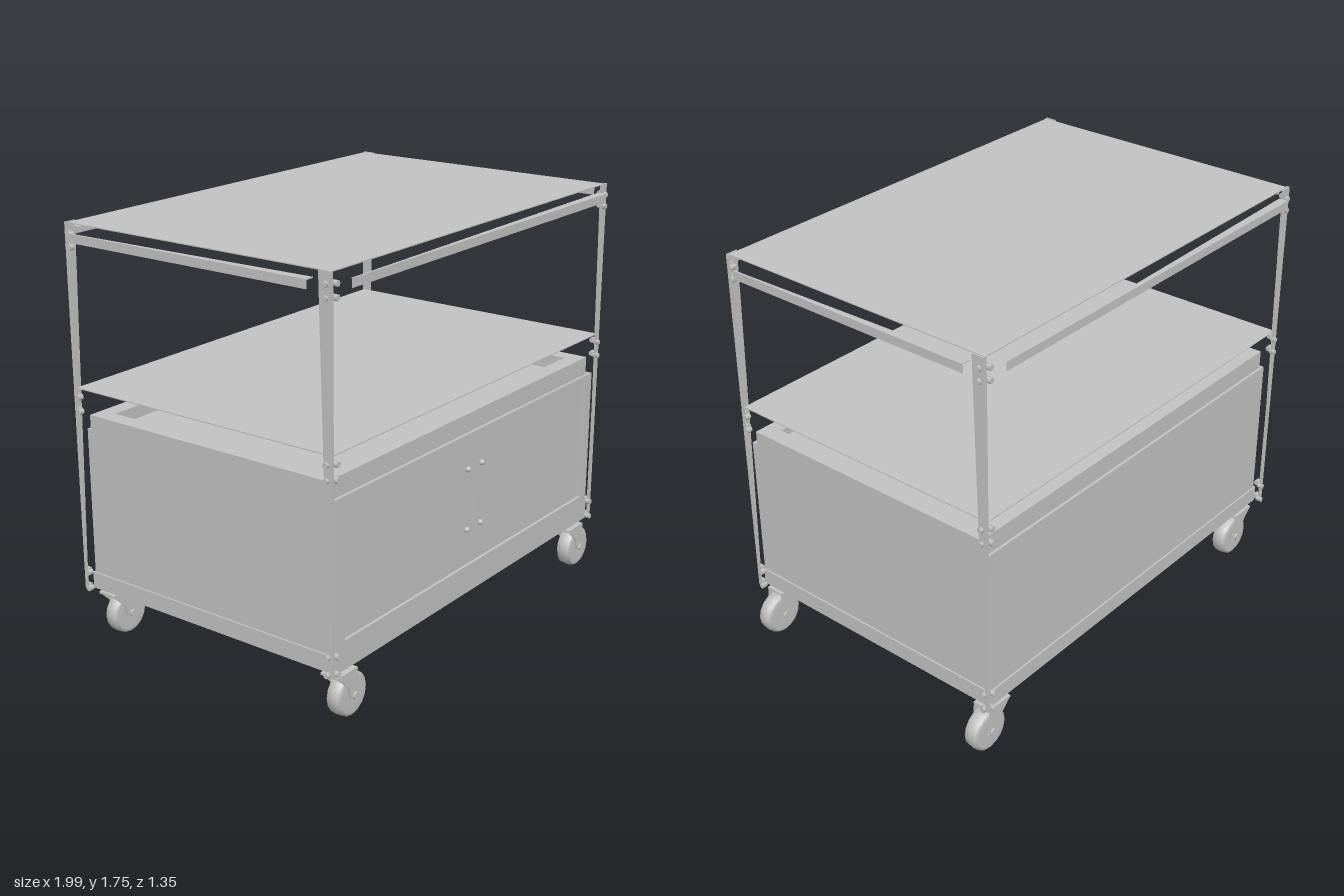
import * as THREE from 'three';

const steel = new THREE.MeshStandardMaterial({ color: 0xc2c2c2, side: THREE.DoubleSide });
steel.name = 'grey steel';

function add(parent, name, geo, x = 0, y = 0, z = 0) {
  const m = new THREE.Mesh(geo, steel);
  m.name = name;
  m.position.set(x, y, z);
  parent.add(m);
  return m;
}

// box given by its limits
function box(parent, name, x0, x1, y0, y1, z0, z1) {
  return add(parent, name, new THREE.BoxGeometry(x1 - x0, y1 - y0, z1 - z0),
    (x0 + x1) / 2, (y0 + y1) / 2, (z0 + z1) / 2);
}

function outline(points) {
  return new THREE.Shape(points.map(([x, y]) => new THREE.Vector2(x, y)));
}

function rect(x0, x1, y0, y1) {
  return outline([[x0, y0], [x1, y0], [x1, y1], [x0, y1]]);
}

function plate(parent, name, shape, depth, x, y, z) {
  return add(parent, name, new THREE.ExtrudeGeometry(shape, { depth, bevelEnabled: false }), x, y, z);
}

// horizontal frame with a rectangular hole
function ring(parent, name, hx, z0, z1, width, y, depth) {
  const s = rect(-hx, hx, -z1, -z0);
  s.holes.push(rect(-hx + width, hx - width, -z1 + width, -z0 - width));
  plate(parent, name, s, depth, 0, y, 0).rotation.x = -Math.PI / 2;
}

function cabinet() {
  const g = new THREE.Group();
  g.name = 'cabinet';
  box(g, 'floor', -0.925, 0.925, 0.23, 0.24, -0.61, 0.635);
  box(g, 'backPanel', -0.92, 0.92, 0.23, 0.92, -0.605, -0.595);
  for (const s of [-1, 1]) {
    const x = s * 0.915;
    box(g, 'sidePanel', x - 0.005, x + 0.005, 0.23, 0.92, -0.605, 0.625);
  }
  ring(g, 'bottomLip', 0.927, -0.612, 0.635, 0.012, 0.23, 0.07);

  // front frame around the doors
  const frame = rect(-0.922, 0.922, 0.23, 0.92);
  frame.holes.push(rect(-0.872, 0.87, 0.35, 0.88));
  plate(g, 'frontFrame', frame, 0.012, 0, 0, 0.623);
  box(g, 'doorBacking', -0.9, 0.9, 0.33, 0.9, 0.59, 0.6);
  for (const s of [-1, 1]) {
    const a = s * 0.006, b = s * 0.864;
    box(g, 'door', Math.min(a, b), Math.max(a, b), 0.356, 0.875, 0.6, 0.622);
    for (const y of [0.505, 0.765]) {
      add(g, 'doorKnob', new THREE.SphereGeometry(0.012, 10, 8), s * 0.05, y, 0.627);
    }
  }

  // open tray on top
  box(g, 'trayFloor', -0.92, 0.92, 0.895, 0.905, -0.6, 0.625);
  ring(g, 'trayLip', 0.927, -0.58, 0.602, 0.012, 0.9, 0.085);
  ring(g, 'trayFlange', 0.927, -0.58, 0.602, 0.07, 0.977, 0.008);
  return g;
}

function bolt(parent, x, y, z, alongX) {
  const m = add(parent, 'bolt', new THREE.CylinderGeometry(0.012, 0.012, 0.024, 6), x, y, z);
  if (alongX) m.rotation.z = Math.PI / 2;
  else m.rotation.x = Math.PI / 2;
}

// one side of the upright frame: a tapered angle post at its +x end and a top rail
function frameSide(half, depth, railHalf) {
  const g = new THREE.Group();
  g.name = 'frameSide';
  plate(g, 'post', outline([[half - 0.012, 0.23], [half, 0.23], [half, 1.755], [half - 0.052, 1.755]]),
    0.004, 0, 0, depth);
  box(g, 'postEdge', half - 0.004, half, 0.23, 1.755, depth - 0.012, depth);
  for (const y of [0.24, 0.31, 1.0, 1.06, 1.66, 1.71]) {
    bolt(g, half - 0.02, y, depth + 0.004, false);
    bolt(g, half, y, depth - 0.025, true);
  }
  // rail: upright web with a tapered shelf behind it
  box(g, 'railWeb', -railHalf, railHalf, 1.69, 1.725, depth + 0.036, depth + 0.04);
  const flange = plate(g, 'railFlange',
    outline([[-railHalf, -0.04], [railHalf, -0.04], [railHalf, 0], [-railHalf, -0.034]]),
    0.004, 0, 1.721, depth);
  flange.rotation.x = -Math.PI / 2;
  return g;
}

function caster(x, z) {
  const g = new THREE.Group();
  g.name = 'caster';
  g.position.set(x, 0, z);
  // rounded tyre turned about the axle
  const profile = [[0.02, -0.03], [0.075, -0.034], [0.088, -0.026], [0.092, 0],
    [0.088, 0.026], [0.075, 0.034], [0.02, 0.03]].map(([r, y]) => new THREE.Vector2(r, y));
  add(g, 'wheel', new THREE.LatheGeometry(profile, 16), 0, 0.092, 0).rotation.x = Math.PI / 2;
  add(g, 'axle', new THREE.CylinderGeometry(0.016, 0.016, 0.1, 8), 0, 0.092, 0).rotation.x = Math.PI / 2;
  box(g, 'mountPlate', -0.105, 0.015, 0.195, 0.205, -0.042, 0.042);
  const cheek = outline([[-0.105, 0.2], [0.015, 0.2], [0.022, 0.085], [0, 0.07],
    [-0.025, 0.085], [-0.04, 0.135]]);
  for (const zc of [-0.041, 0.037]) plate(g, 'fork', cheek, 0.004, 0, 0, zc);
  return g;
}

export function createModel() {
  const model = new THREE.Group();
  model.name = 'serviceCart';
  model.add(cabinet());

  // thin sheet shelves
  for (const [name, y] of [['middleShelf', 1.09], ['topShelf', 1.75]]) {
    box(model, name, -0.945, 0.945, y, y + 0.004, -0.625, 0.637);
  }

  // four sides, each turned a quarter from the last
  const sides = [[0.953, 0.641, 0.885], [0.628, 0.953, 0.565], [0.953, 0.63, 0.885], [0.641, 0.953, 0.565]];
  sides.forEach(([half, depth, railHalf], i) => {
    const side = frameSide(half, depth, railHalf);
    side.rotation.y = i * Math.PI / 2;
    model.add(side);
  });

  for (const x of [-0.8, 0.905]) {
    for (const z of [-0.565, 0.588]) model.add(caster(x, z));
  }
  return model;
}
